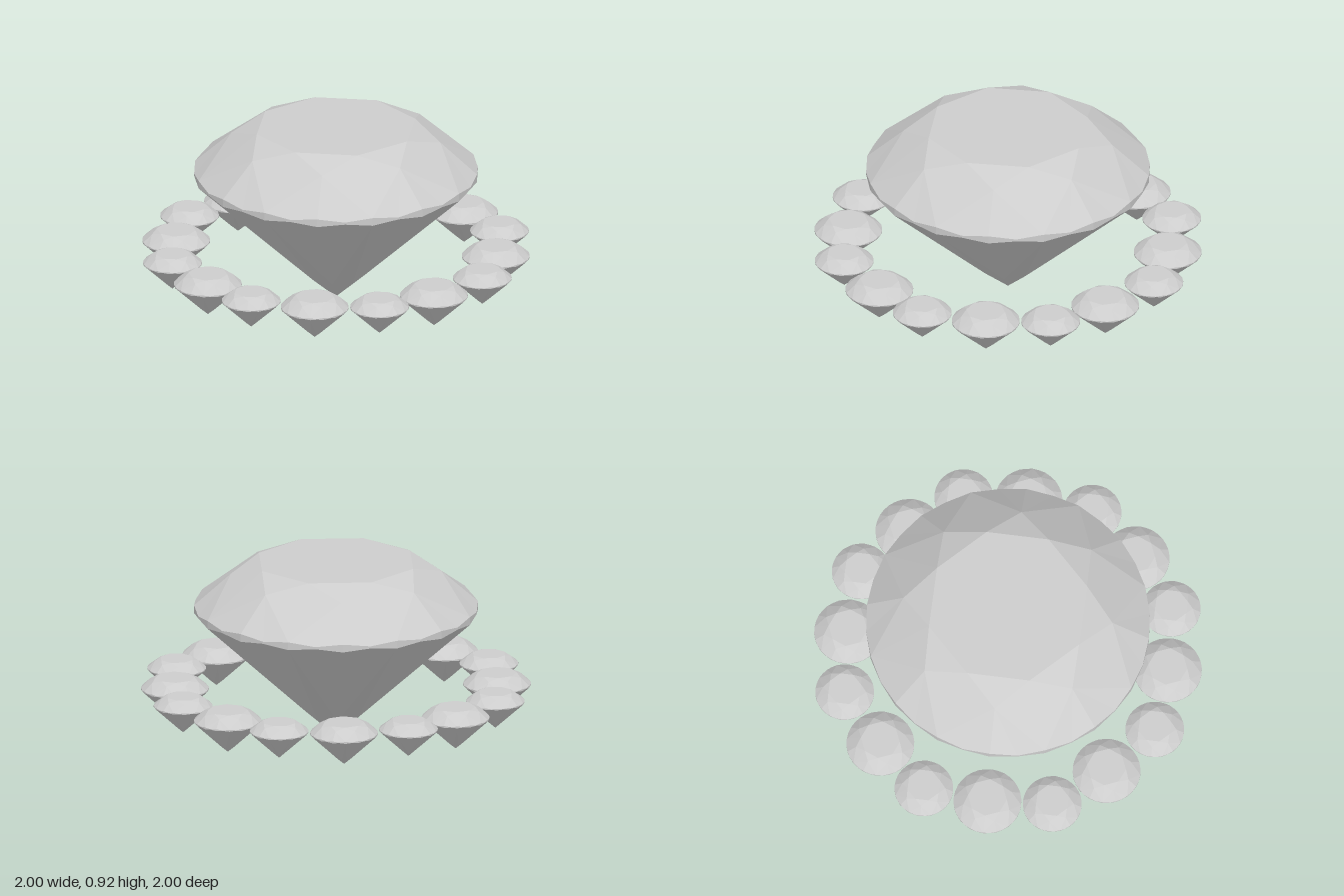
import * as THREE from 'three';

const STEP = Math.PI / 16; // the girdle has 32 points

// point at girdle step i, radius r, height y
const at = (i, r, y) => new THREE.Vector3(r * Math.sin(i * STEP), y, r * Math.cos(i * STEP));

// Round brilliant cut: table, crown, scalloped girdle and pavilion
function brilliantGeometry() {
  const pos = [];
  const inside = new THREE.Vector3(0, 0.65, 0);
  const tri = (a, b, c) => {
    const n = b.clone().sub(a).cross(c.clone().sub(a));
    const out = a.clone().add(b).add(c).divideScalar(3).sub(inside);
    const order = n.dot(out) < 0 ? [a, c, b] : [a, b, c];
    order.forEach((p) => pos.push(p.x, p.y, p.z));
  };

  const R = 0.715;
  const culet = at(0, 0, 0);
  const tableCentre = at(0, 0, 0.92);
  const table = (i) => at(i, 0.412, 0.92);
  const star = (i) => at(i, 0.53, 0.86);
  const upper = (i) => at(i, R, i % 2 ? 0.682 : 0.697);
  const lower = (i) => at(i, R, i % 2 ? 0.671 : 0.656);
  const pavilion = (i) => at(i, 0.145, 0.123);

  for (let k = 0; k < 32; k += 4) {
    // table and star facets
    tri(tableCentre, table(k), table(k + 4));
    tri(table(k), table(k + 4), star(k + 2));
    // kite facet
    tri(table(k), star(k - 2), upper(k));
    tri(table(k), star(k + 2), upper(k));
    // pavilion main facet
    tri(culet, pavilion(k - 2), lower(k));
    tri(culet, pavilion(k + 2), lower(k));
    for (let i = k; i < k + 4; i++) {
      // upper halves, girdle band, lower halves
      tri(star(k + 2), upper(i), upper(i + 1));
      tri(upper(i), lower(i), lower(i + 1));
      tri(upper(i), lower(i + 1), upper(i + 1));
      tri(pavilion(k + 2), lower(i), lower(i + 1));
    }
  }
  const geo = new THREE.BufferGeometry();
  geo.setAttribute('position', new THREE.Float32BufferAttribute(pos, 3));
  geo.computeVertexNormals();
  return geo;
}

export function createModel() {
  const group = new THREE.Group();
  const gem = new THREE.MeshStandardMaterial({ color: 0xcccccc, flatShading: true });
  gem.name = 'gemGrey';
  const geo = brilliantGeometry();

  const centre = new THREE.Mesh(geo, gem);
  centre.name = 'centreStone';
  group.add(centre);

  // ring of sixteen stones alternating in size, tables level
  for (let i = 0; i < 16; i++) {
    const large = i % 2 === 1;
    const scale = large ? 0.239 : 0.207;
    const stone = new THREE.Mesh(geo, gem);
    stone.name = large ? 'largeHaloStone' : 'smallHaloStone';
    stone.scale.setScalar(scale);
    stone.position.copy(at(i * 2, large ? 0.811 : 0.851, 0.32 - 0.92 * scale));
    stone.rotation.y = i * 2 * STEP;
    group.add(stone);
  }
  return group;
}
